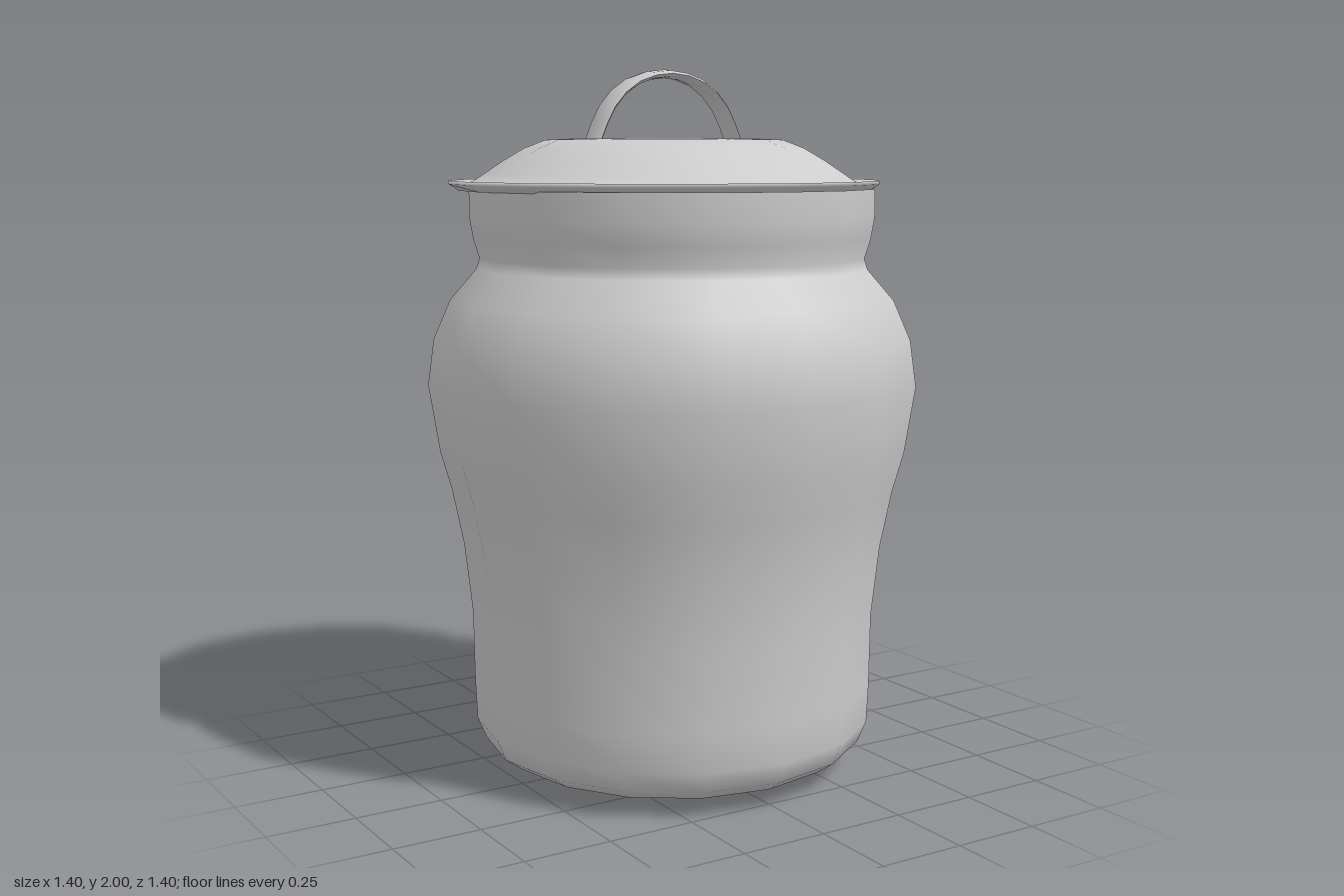
import * as THREE from 'three';

const SIDES = 16;

// Turned shape from [radius, height] pairs, listed bottom to top along the outside
function turned(name, profile, material) {
  const points = profile.map(([r, y]) => new THREE.Vector2(r, y));
  const mesh = new THREE.Mesh(new THREE.LatheGeometry(points, SIDES), material);
  mesh.name = name;
  return mesh;
}

export function createModel() {
  const grey = new THREE.MeshStandardMaterial({ color: 0xcccccc, side: THREE.DoubleSide });
  grey.name = 'light grey';

  const model = new THREE.Group();
  model.name = 'lidded jar';

  // Bulging body with rounded foot, pinched neck and flared collar
  model.add(turned('body', [
    [0, 0.003], [0.2, 0.008], [0.38, 0.02], [0.5, 0.045], [0.55, 0.08], [0.575, 0.14],
    [0.58, 0.25], [0.583, 0.46], [0.605, 0.66], [0.637, 0.82], [0.668, 0.93],
    [0.698, 1.12], [0.68, 1.25], [0.632, 1.36], [0.558, 1.445], [0.548, 1.475],
    [0.565, 1.53], [0.575, 1.59], [0.575, 1.668],
  ], grey));

  // Lid sits slightly back from the jar's axis
  const lid = new THREE.Group();
  lid.name = 'lid';
  lid.position.z = -0.042;
  model.add(lid);

  // Domed cover with a thin upturned brim
  lid.add(turned('cover', [
    [0, 1.66], [0.54, 1.66], [0.585, 1.662], [0.612, 1.68], [0.614, 1.69],
    [0.58, 1.682], [0.545, 1.688], [0.515, 1.708], [0.46, 1.745], [0.4, 1.78],
    [0.34, 1.803], [0.28, 1.806], [0, 1.806],
  ], grey));

  // Arched strap handle: a thin tube widened across its path
  const arch = new THREE.CatmullRomCurve3([
    [-0.235, 1.795], [-0.19, 1.89], [-0.115, 1.96], [0, 1.988],
    [0.115, 1.96], [0.19, 1.89], [0.235, 1.795],
  ].map(([x, y]) => new THREE.Vector3(x, y, 0)));
  const strap = new THREE.TubeGeometry(arch, 12, 0.012, 8, false);
  strap.scale(1, 1, 3.75);
  strap.computeVertexNormals();
  const handle = new THREE.Mesh(strap, grey);
  handle.name = 'handle';
  lid.add(handle);

  return model;
}
